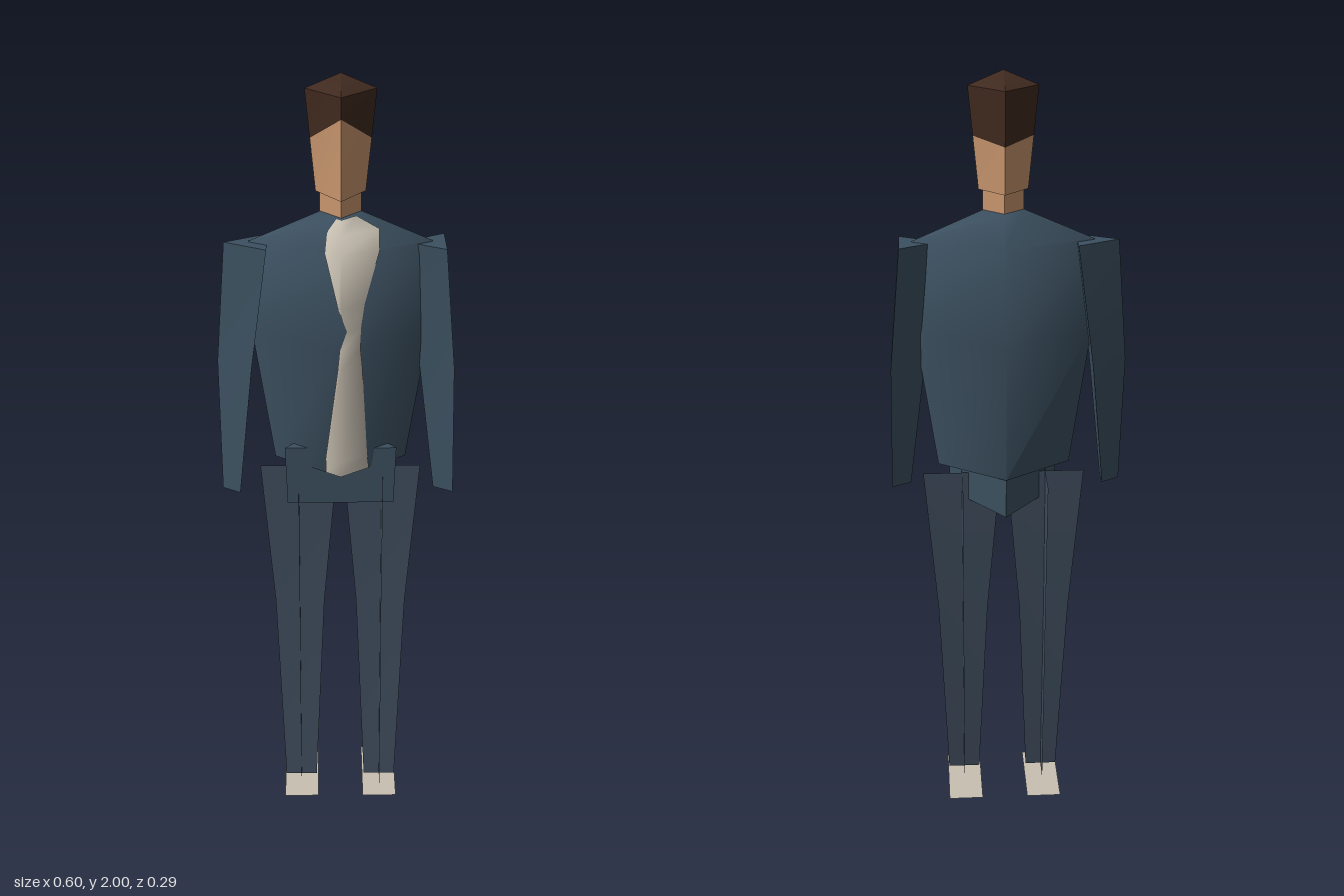
import * as THREE from 'three';
import { toCreasedNormals } from 'three/addons/utils/BufferGeometryUtils.js';

const CX = 0.008, CZ = -0.014; // body axis

const mat = (name, color, side = THREE.FrontSide) => {
  const m = new THREE.MeshStandardMaterial({ color, side });
  m.name = name;
  return m;
};

function build(points, index, crease) {
  const g = new THREE.BufferGeometry();
  g.setAttribute('position', new THREE.Float32BufferAttribute(points.flat(), 3));
  g.setIndex(index);
  g.computeVertexNormals();
  return toCreasedNormals(g, crease);
}

// Closed solid through rings of equal size, listed bottom to top
function loft(rings, crease = 0.6) {
  const n = rings[0].length, last = (rings.length - 1) * n, index = [];
  for (let r = 0; r < rings.length - 1; r++) {
    for (let i = 0; i < n; i++) {
      const a = r * n + i, b = r * n + (i + 1) % n;
      index.push(a, b, b + n, a, b + n, a + n);
    }
  }
  for (let i = 1; i < n - 1; i++) {
    index.push(0, i + 1, i, last, last + i, last + i + 1);
  }
  return build(rings.flat(), index, crease);
}

// Open sheet from rows of equal length, listed bottom to top, left to right
function sheet(rows, crease = 0.6) {
  const n = rows[0].length, index = [];
  for (let r = 0; r < rows.length - 1; r++) {
    for (let i = 0; i < n - 1; i++) {
      const a = r * n + i;
      index.push(a, a + 1, a + n + 1, a, a + n + 1, a + n);
    }
  }
  return build(rows.flat(), index, crease);
}

// Diamond cross-section: front, left, back, right corners
const diamond = (y, hw, zf, zb) => [[CX, y, zf], [CX + hw, y, CZ], [CX, y, zb], [CX - hw, y, CZ]];

export function createModel() {
  const model = new THREE.Group();
  const suit = mat('suit', 0x3c5060);
  const trousers = mat('trousers', 0x3e4c5c, THREE.DoubleSide);
  const shirt = mat('shirt', 0xc8c0b2, THREE.DoubleSide);
  const skin = mat('skin', 0xc8966e);
  const hair = mat('hair', 0x402a1f);

  const add = (name, geometry, material) => {
    const mesh = new THREE.Mesh(geometry, material);
    mesh.name = name;
    model.add(mesh);
  };

  // Jacket: y, half width, front z, back z
  const torso = [
    [1.005, 0.168, 0.10, -0.13],
    [1.36, 0.22, 0.12, -0.143],
    [1.595, 0.222, 0.098, -0.117],
    [1.67, 0.05, 0.035, -0.06],
  ];
  add('jacket', loft(torso.map(r => diamond(...r)), 1.2), suit);

  // Shirt front follows the jacket's front faces: y, right edge, left edge
  const frontZ = (x, y) => {
    let i = 0;
    while (i < torso.length - 2 && y > torso[i + 1][0]) i++;
    const a = torso[i], b = torso[i + 1], t = (y - a[0]) / (b[0] - a[0]);
    const hw = a[1] + (b[1] - a[1]) * t, zf = a[2] + (b[2] - a[2]) * t;
    return CZ + (zf - CZ) * (1 - Math.abs(x - CX) / hw);
  };
  const opening = [
    [1.007, -0.03, 0.08], [1.05, -0.03, 0.075], [1.31, 0, 0.06], [1.36, 0.004, 0.055],
    [1.41, 0.022, 0.056], [1.47, 0, 0.065], [1.595, -0.03, 0.1], [1.635, -0.025, 0.1],
    [1.666, -0.01, 0.045],
  ];
  add('shirtFront', sheet(opening.map(([y, x0, x1]) =>
    [x0, Math.max(CX, x0 + 0.001), x1].map(x => [x, y, frontZ(x, y) + 0.004])), 1.2), shirt);

  // Hips: triangular block, flat in front
  add('hips', loft([[0.9, 0.137, -0.125], [1.06, 0.142, -0.128]].map(([y, hw, zb]) =>
    [[CX - hw, y, 0.047], [CX + hw, y, 0.047], [CX, y, zb]])), suit);

  // Arms: y, flat side x, apex x, back z, front z
  const arms = {
    rightArm: [[0.935, -0.25, -0.296, 0, 0.055], [1.28, -0.213, -0.3, -0.06, 0.043], [1.592, -0.17, -0.275, -0.07, 0.042]],
    leftArm: [[0.935, 0.297, 0.248, 0, 0.055], [1.28, 0.29, 0.205, -0.06, 0.043], [1.592, 0.262, 0.16, -0.07, 0.042]],
  };
  for (const [name, rows] of Object.entries(arms)) {
    add(name, loft(rows.map(([y, flat, apex, z0, z1]) =>
      [[flat, y, z1], [flat, y, z0], [apex, y, (z0 + z1) / 2]])), suit);
  }

  // Legs: two crossed cards each, standing on flat soles
  const leg = [ // y, half width, centre offset, back z, front z
    [0.015, 0.043, 0.11, 0, 0.13],
    [0.57, 0.066, 0.109, -0.06, 0.07],
    [0.977, 0.1, 0.108, -0.11, 0.085],
  ];
  for (const [side, s] of [['right', -1], ['left', 1]]) {
    add(side + 'LegFrontCard', sheet(leg.map(([y, hw, off, z0, z1]) =>
      [-hw, hw].map(d => [CX + s * off + d, y, (z0 + z1) / 2]))), trousers);
    add(side + 'LegSideCard', sheet(leg.map(([y, hw, off, z0, z1]) =>
      [[CX + s * off, y + 0.005, z1], [CX + s * off, y - 0.005, z0]])), trousers);
    const sole = new THREE.PlaneGeometry(0.093, 0.213).rotateX(-Math.PI / 2);
    sole.translate(CX + s * 0.109, 0, 0.036);
    add(side + 'Sole', sole, shirt);
  }

  // Neck
  add('neck', loft([diamond(1.665, 0.05, 0.036, -0.06), diamond(1.725, 0.05, 0.036, -0.06)]), skin);

  // Head: tapering diamond, divided by a hairline that drops to the back
  const corner = (i, y) => {
    const t = (y - 1.72) / 0.245;
    return diamond(y, 0.06 + 0.024 * t, 0.068 + 0.003 * t, -0.08 - 0.02 * t)[i];
  };
  const hairline = [1.915, 1.848, 1.835, 1.848].map((y, i) => corner(i, y));
  const ringAt = y => [0, 1, 2, 3].map(i => corner(i, y));
  add('face', loft([ringAt(1.72), hairline]), skin);
  add('hair', loft([hairline, ringAt(1.965), diamond(2, 0.001, CZ + 0.001, CZ - 0.001)]), hair);

  return model;
}
